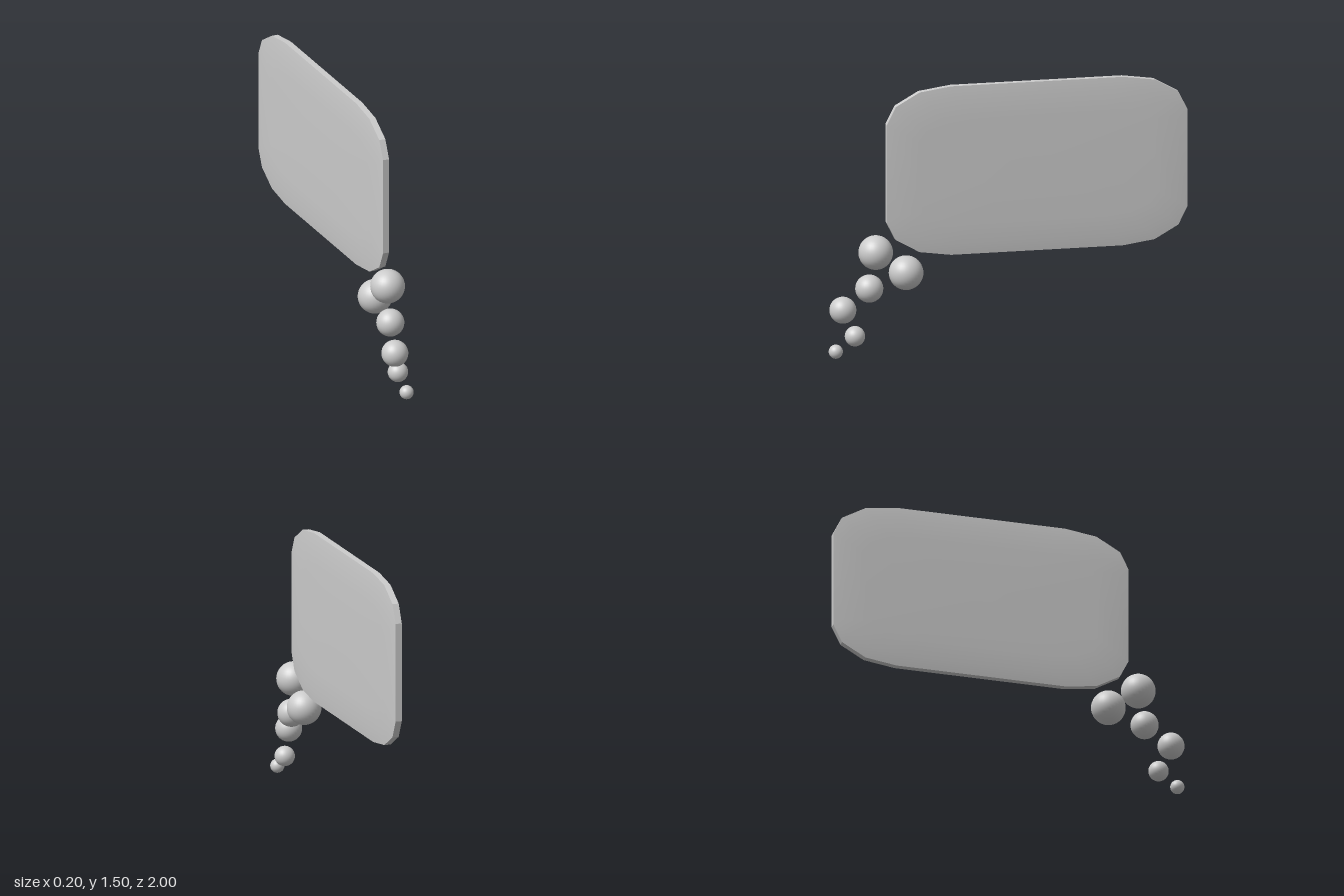
import * as THREE from 'three';
import { toCreasedNormals } from 'three/addons/utils/BufferGeometryUtils.js';

const material = new THREE.MeshStandardMaterial({ color: 0xcccccc });

// Upright slab with chamfered corners and slightly domed sides, lofted along x
function slabGeometry(halfZ, halfY) {
  const corner = [[0.84, 0.275], [0.79, 0.375], [0.657, 0.45], [0.48, 0.475]];
  const mirrored = [...corner].reverse();
  // Outline, counter-clockwise seen from +x (u runs toward -z)
  const outline = [
    ...corner,
    ...mirrored.map(([u, y]) => [-u, y]),
    ...corner.map(([u, y]) => [-u, -y]),
    ...mirrored.map(([u, y]) => [u, -y]),
  ];
  // Sections: x offset and inset from the rim
  const sections = [[-0.028, 0.18], [-0.025, 0.06], [-0.018, 0], [0.018, 0], [0.025, 0.06], [0.028, 0.18]];
  const n = outline.length;
  const positions = [];
  const index = [];
  for (const [x, inset] of sections) {
    for (const [u, y] of outline) {
      positions.push(x, y * (1 - inset / halfY), -u * (1 - inset / halfZ));
    }
  }
  const back = positions.length / 3;
  positions.push(-0.028, 0, 0, 0.028, 0, 0);
  const last = (sections.length - 1) * n;
  for (let i = 0; i < n; i++) {
    const j = (i + 1) % n;
    for (let r = 0; r < last; r += n) {
      index.push(r + i, r + j, r + n + j, r + i, r + n + j, r + n + i);
    }
    index.push(back, j, i, back + 1, last + i, last + j);
  }
  const geometry = new THREE.BufferGeometry();
  geometry.setAttribute('position', new THREE.Float32BufferAttribute(positions, 3));
  geometry.setIndex(index);
  return toCreasedNormals(geometry, 0.33);
}

export function createModel() {
  const model = new THREE.Group();
  model.name = 'thoughtBubble';

  const panel = new THREE.Mesh(slabGeometry(0.84, 0.475), material);
  panel.name = 'bubblePanel';
  panel.position.set(0.02, 1.03, -0.16);
  model.add(panel);

  // Trail of shrinking balls below the front corner: x, y, z, radius
  const trail = new THREE.Group();
  trail.name = 'bubbleTrail';
  const balls = [
    [0.005, 0.583, 0.735, 0.095],
    [0.005, 0.46, 0.565, 0.095],
    [0.005, 0.382, 0.771, 0.077],
    [-0.03, 0.259, 0.911, 0.074],
    [0.014, 0.12, 0.853, 0.056],
    [0.018, 0.04, 0.961, 0.039],
  ];
  balls.forEach(([x, y, z, radius], i) => {
    const ball = new THREE.Mesh(new THREE.SphereGeometry(radius, 32, 20), material);
    ball.name = `trailBall${i + 1}`;
    ball.position.set(x, y, z);
    trail.add(ball);
  });
  model.add(trail);

  return model;
}
